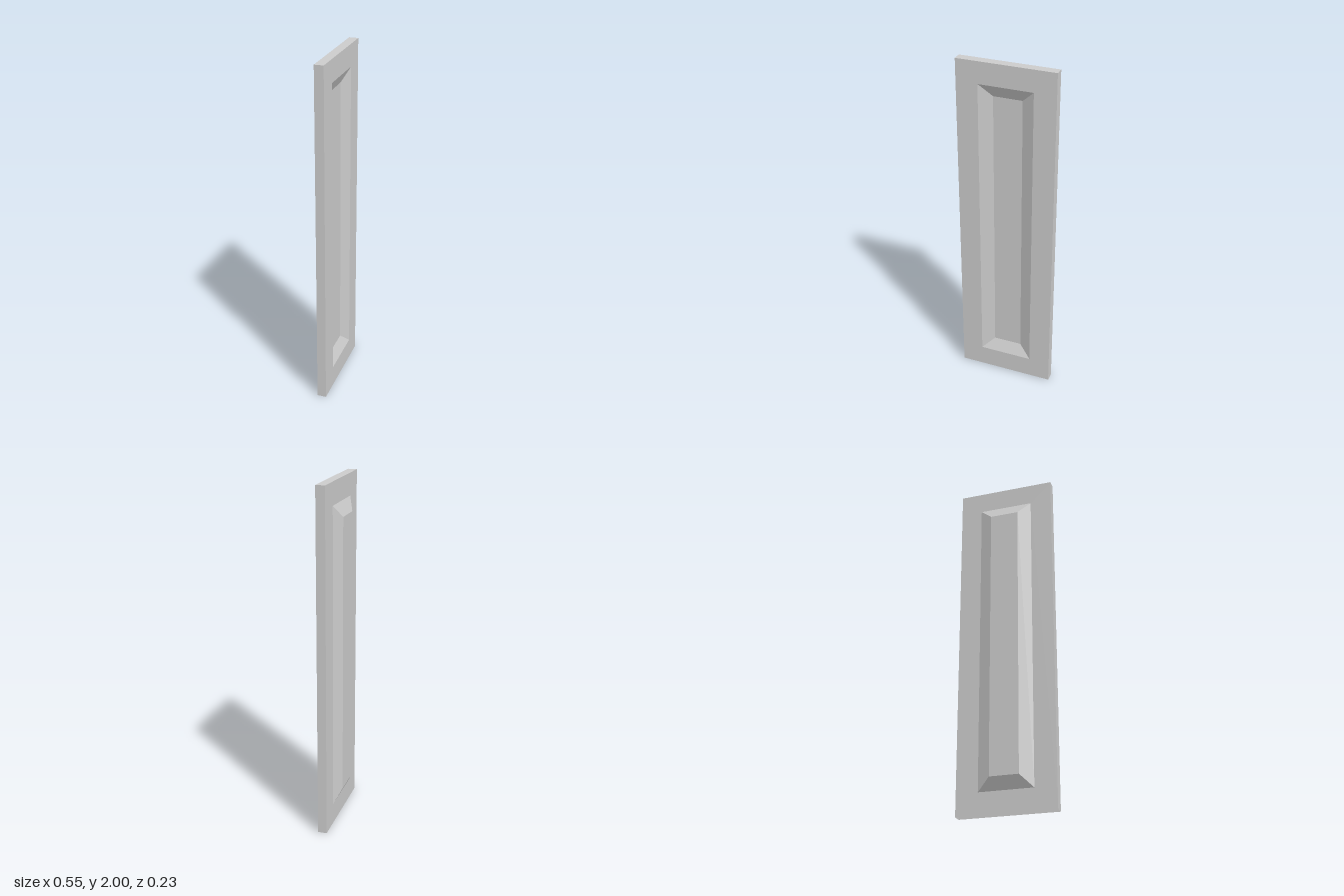
import * as THREE from 'three';

const HALF_W = 0.281, HEIGHT = 2, HALF_T = 0.026, DEPTH = 0.0345;

const material = new THREE.MeshStandardMaterial({
  color: 0xcccccc, flatShading: true, side: THREE.DoubleSide,
});

// Flat-shaded mesh from quads, corners counter-clockwise from outside
function quadMesh(name, quads) {
  const positions = quads.flatMap(([a, b, c, d]) => [a, b, c, a, c, d].flat());
  const geometry = new THREE.BufferGeometry();
  geometry.setAttribute('position', new THREE.Float32BufferAttribute(positions, 3));
  geometry.computeVertexNormals();
  const mesh = new THREE.Mesh(geometry, material);
  mesh.name = name;
  return mesh;
}

// Rectangle corners, counter-clockwise seen from +z
function ring(halfWidth, margin, z) {
  const top = HEIGHT - margin;
  return [[-halfWidth, margin, z], [halfWidth, margin, z], [halfWidth, top, z], [-halfWidth, top, z]];
}

// Sheet with a bevelled rectangle pressed towards the back
function pressedSheet(name, z, facesBack) {
  const rings = [
    ring(HALF_W, 0, z),
    ring(0.156, 0.125, z),
    ring(0.083, 0.195, z - DEPTH),
  ];
  const quads = [rings[2]];
  for (let r = 0; r < 2; r++) {
    for (let i = 0; i < 4; i++) {
      const j = (i + 1) % 4;
      quads.push([rings[r][i], rings[r][j], rings[r + 1][j], rings[r + 1][i]]);
    }
  }
  return quadMesh(name, facesBack ? quads.map((q) => [...q].reverse()) : quads);
}

export function createModel() {
  const panel = new THREE.Group();
  panel.name = 'panel';

  panel.add(pressedSheet('frontSheet', HALF_T, false));
  panel.add(pressedSheet('backSheet', -HALF_T, true));

  // Side and top edges; the underside stays open
  const front = ring(HALF_W, 0, HALF_T), back = ring(HALF_W, 0, -HALF_T);
  ['leftEdge', 'topEdge', 'rightEdge'].forEach((name, k) => {
    const i = k + 1, j = (i + 1) % 4;
    panel.add(quadMesh(name, [[front[i], back[i], back[j], front[j]]]));
  });

  // The panel stands slightly ajar
  panel.rotation.y = 0.332;

  const model = new THREE.Group();
  model.name = 'pressedPanel';
  model.add(panel);
  return model;
}
